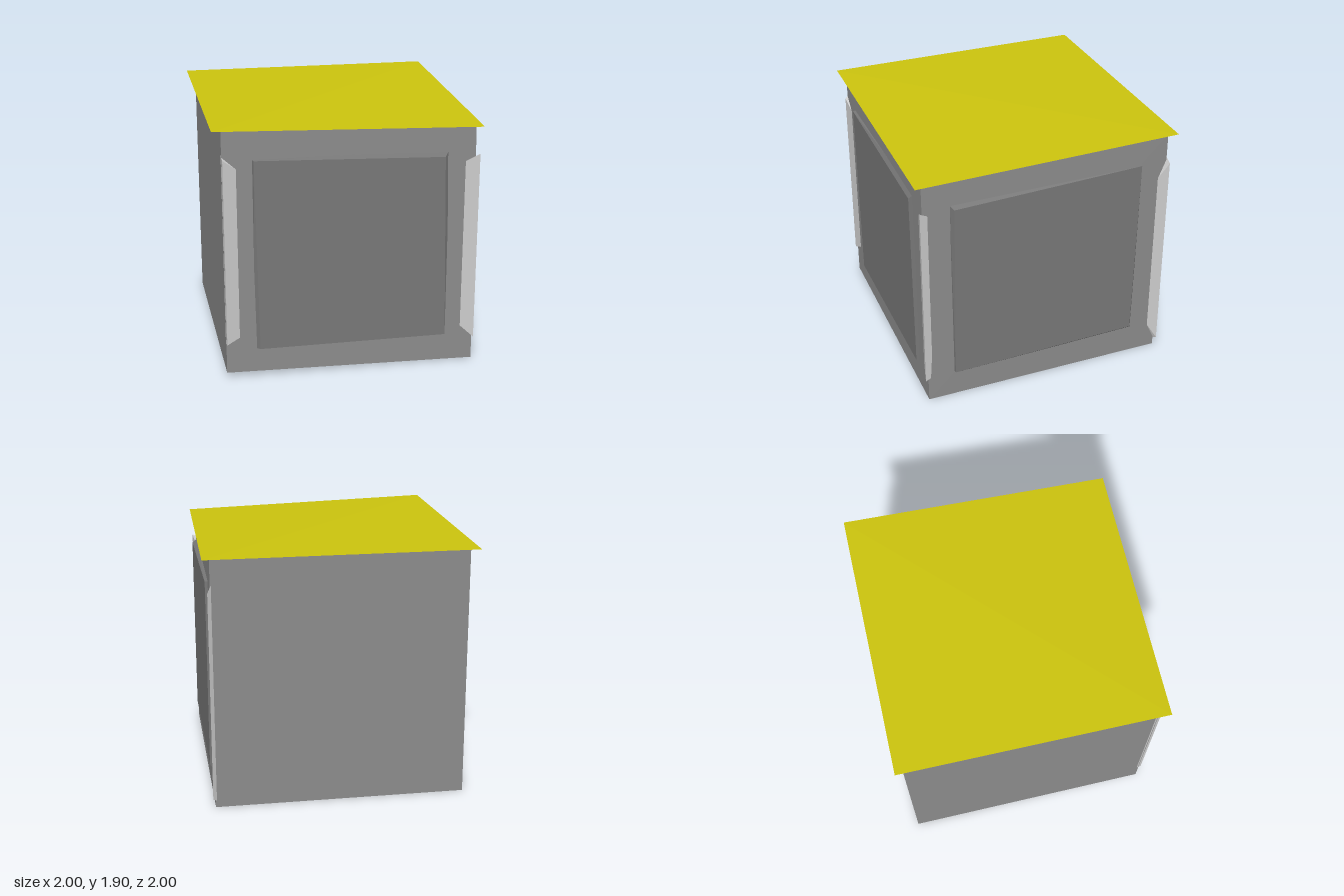
import * as THREE from 'three';
import { ConvexGeometry } from 'three/addons/geometries/ConvexGeometry.js';

const material = (color) => new THREE.MeshStandardMaterial({ color });

// Flat-faced solid around a handful of [x, y, z] corners
function solid(name, corners, mat) {
  const geometry = new ConvexGeometry(corners.map((c) => new THREE.Vector3(...c)));
  const mesh = new THREE.Mesh(geometry, mat);
  mesh.name = name;
  return mesh;
}

// Raised panel: base outline on the wall, smaller uneven face standing proud
// Outlines are [across, y]; place() maps (across, y, depth) to a point
function panel(name, base, face, place, mat) {
  const corners = [
    ...base.map(([a, y]) => place(a, y, 0.93)),
    ...face.map(([a, y]) => place(a, y, 0.966)),
  ];
  return solid(name, corners, mat);
}

// Vertical corner trim: each rib is [x, z, bottom, top], ends taper between ribs
function trim(name, ribs, mat) {
  const corners = ribs.flatMap(([x, z, bottom, top]) => [[x, bottom, z], [x, top, z]]);
  return solid(name, corners, mat);
}

// Open sheet of two triangles
function sheet(name, corners, order, mat) {
  const positions = order.flatMap((i) => corners[i]);
  const geometry = new THREE.BufferGeometry();
  geometry.setAttribute('position', new THREE.Float32BufferAttribute(positions, 3));
  geometry.computeVertexNormals();
  const mesh = new THREE.Mesh(geometry, mat);
  mesh.name = name;
  return mesh;
}

export function createModel() {
  const group = new THREE.Group();
  group.name = 'panelledBox';
  const bodyGrey = material(0x8c8c8c);
  const panelGrey = material(0x787878);
  const trimGrey = material(0xcccccc);
  const yellow = material(0xccc40e);

  // Slightly crooked body
  group.add(solid('body', [
    [-0.935, 0, -0.945], [0.945, 0, -0.945], [0.945, 0, 0.945], [-0.93, 0.04, 0.945],
    [-0.935, 1.89, -0.945], [0.945, 1.89, -0.945], [0.92, 1.835, 0.945], [-0.93, 1.89, 0.945],
  ], bodyGrey));

  // Panels on the front and the +x side
  group.add(panel('frontPanel',
    [[-0.72, 1.67], [0.73, 1.67], [0.73, 0.22], [-0.72, 0.22]],
    [[-0.705, 1.665], [0.69, 1.62], [0.725, 0.22], [-0.68, 0.22]],
    (a, y, d) => [a, y, d], panelGrey));
  group.add(panel('sidePanel',
    [[0.74, 1.64], [-0.74, 1.68], [-0.74, 0.21], [0.74, 0.21]],
    [[0.72, 1.62], [-0.735, 1.675], [-0.715, 0.245], [0.735, 0.21]],
    (a, y, d) => [d, y, a], panelGrey));

  // Trims on the three corners that border the panels
  group.add(trim('frontRightTrim', [
    [-0.82, 0.943, 0.32, 1.6], [-0.925, 0.966, 0.27, 1.68], [-0.932, 0.93, 0.27, 1.71],
  ], trimGrey));
  group.add(trim('frontLeftTrim', [
    [0.84, 0.943, 0.28, 1.57], [0.95, 0.968, 0.18, 1.63], [0.94, 0.91, 0.2, 1.6],
  ], trimGrey));
  group.add(trim('backLeftTrim', [
    [0.94, -0.865, 0.23, 1.5], [0.965, -0.965, 0.07, 1.65], [0.93, -0.94, 0.05, 1.72],
  ], trimGrey));

  // Thin lid with one drooping corner: yellow above, grey below
  const lid = [[-1, 1.9, -1], [1, 1.9, -1], [0.965, 1.84, 1], [-1, 1.9, 1]];
  const under = lid.map(([x, y, z]) => [x, y - 0.004, z]);
  group.add(sheet('lidTop', lid, [0, 3, 1, 1, 3, 2], yellow));
  group.add(sheet('lidUnderside', under, [0, 1, 3, 1, 2, 3], bodyGrey));

  return group;
}
